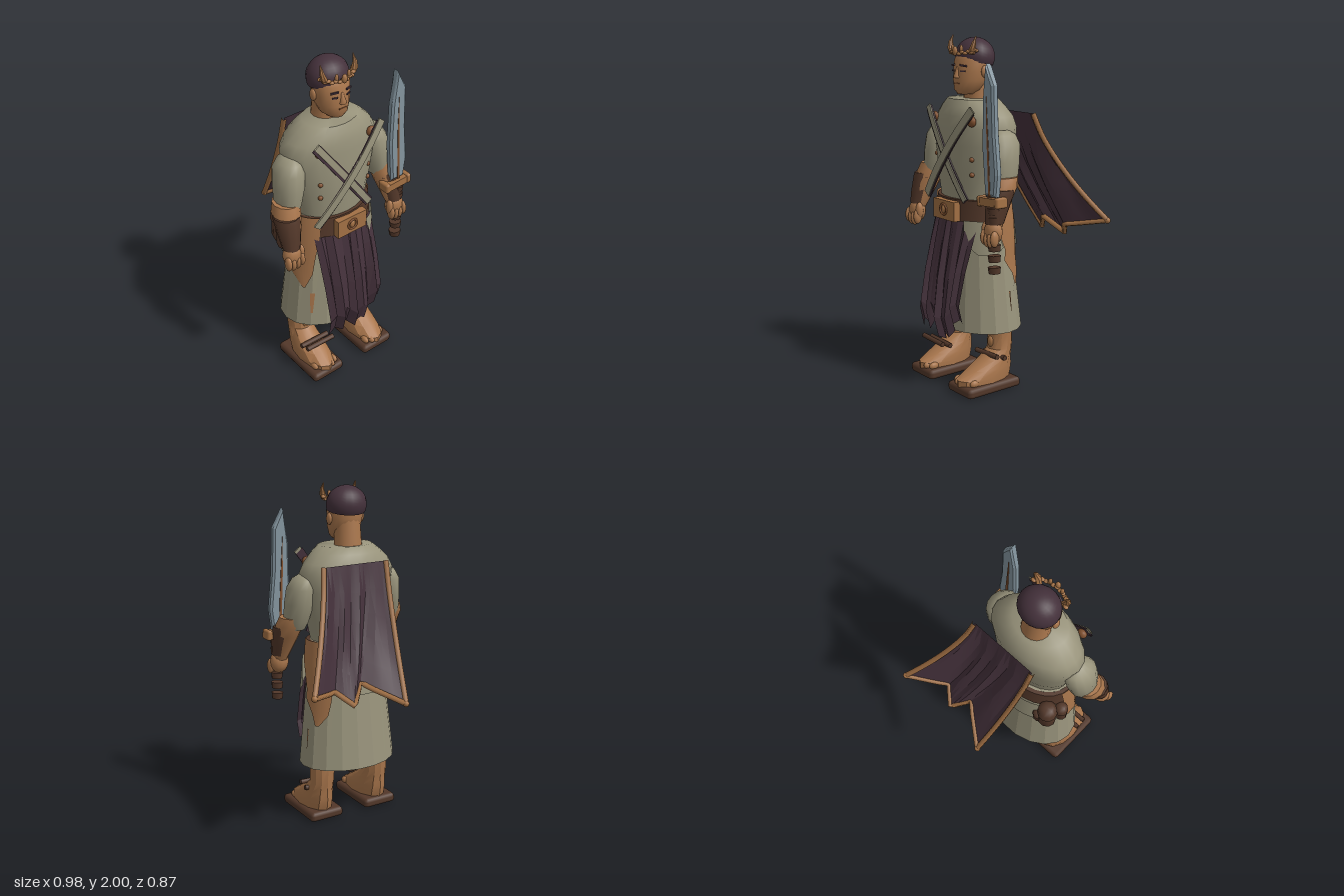
import * as THREE from 'three';
import { toCreasedNormals } from 'three/addons/utils/BufferGeometryUtils.js';
import { RoundedBoxGeometry } from 'three/addons/geometries/RoundedBoxGeometry.js';

const CX = -0.06; // body axis
const lerp = THREE.MathUtils.lerp;
const rad = THREE.MathUtils.degToRad;

export function createModel() {
  const root = new THREE.Group();
  const paint = (name, color, side = THREE.FrontSide) => {
    const m = new THREE.MeshStandardMaterial({ color, side });
    m.name = name;
    return m;
  };
  const cloth = paint('sage cloth', 0x98937b, THREE.DoubleSide);
  const skin = paint('skin', 0xa9764c, THREE.DoubleSide);
  const purple = paint('dark plum', 0x44313b, THREE.DoubleSide);
  const leather = paint('dark leather', 0x523729, THREE.DoubleSide);
  const gold = paint('bronze trim', 0xa27044);
  const steel = paint('steel', 0x84959f);
  const copper = paint('copper', 0x80502f);

  const add = (name, geo, mat, x = 0, y = 0, z = 0, rx = 0, ry = 0, rz = 0) => {
    const m = new THREE.Mesh(geo, mat);
    m.name = name;
    m.position.set(x, y, z);
    m.rotation.set(rx, ry, rz);
    root.add(m);
    return m;
  };
  const ball = (name, mat, x, y, z, a, b = a, c = a) => {
    const m = add(name, new THREE.SphereGeometry(1, 12, 8), mat, x, y, z);
    m.scale.set(a, b, c);
    return m;
  };
  const box = (w, h, d) => new THREE.BoxGeometry(w, h, d);

  // Skin rows of points into a surface; crease 0 gives flat facets
  const surface = (rows, closed, crease = 1) => {
    const n = rows[0].length, idx = [];
    for (let i = 0; i < rows.length - 1; i++) {
      for (let j = 0; j < (closed ? n : n - 1); j++) {
        const k = (j + 1) % n, a = i * n + j, b = i * n + k, c = b + n, d = a + n;
        idx.push(a, d, b, b, d, c);
      }
    }
    const g = new THREE.BufferGeometry();
    g.setAttribute('position', new THREE.Float32BufferAttribute(rows.flat(2), 3));
    g.setIndex(idx);
    return toCreasedNormals(g, crease);
  };
  // Capped stack of ellipses [x, y, z, rx, rz], listed bottom to top
  const loft = (rings, n = 16, crease = 1) => {
    const first = rings[0], last = rings[rings.length - 1];
    const all = [[...first.slice(0, 3), 0, 0], ...rings, [...last.slice(0, 3), 0, 0]];
    return surface(all.map(([x, y, z, rx, rz]) => Array.from({ length: n }, (_, j) => {
      const a = (j / n) * Math.PI * 2;
      return [x + rx * Math.cos(a), y, z + rz * Math.sin(a)];
    })), true, crease);
  };

  // Torso, neck and skirt
  add('tunic', loft([[0.97, 0.21, 0.15, 0.15], [1.1, 0.215, 0.155, 0.15], [1.25, 0.252, 0.178, 0.14],
    [1.4, 0.285, 0.184, 0.132], [1.5, 0.297, 0.182, 0.128], [1.56, 0.265, 0.176, 0.13], [1.61, 0.215, 0.155, 0.138],
    [1.65, 0.165, 0.128, 0.145]].map(([y, rx, rz, z]) => [CX, y, z, rx, rz]), 20), cloth);
  add('neck', loft([[CX, 1.6, 0.11, 0.09, 0.085], [CX, 1.66, 0.11, 0.08, 0.078], [CX, 1.8, 0.125, 0.078, 0.075]]), skin);
  add('skirt', loft([[CX, 0.34, 0.125, 0.29, 0.215], [CX, 0.345, 0.125, 0.305, 0.228], [CX, 1.1, 0.14, 0.225, 0.16]], 18, 0), cloth);

  // Bands lying on the skirt: rows [y, startAngle, endAngle, ownPad], pushed out by pad
  const band = (name, mat, rows, pad, crease = 0.6) => add(name, surface(rows.map(([y, a0, a1, p = pad]) => {
    const t = (y - 0.34) / 0.76;
    return Array.from({ length: 25 }, (_, j) => {
      const a = rad(lerp(a0, a1, j / 24));
      return [CX + (lerp(0.305, 0.225, t) + p) * Math.cos(a), y, lerp(0.125, 0.14, t) + (lerp(0.228, 0.16, t) + p) * Math.sin(a)];
    });
  }), false, crease), mat);
  band('belt', leather, [[0.98, 0, 360], [1.1, 0, 360]], 0.022);
  band('beltTop', leather, [[1.1, 0, 360, 0.022], [1.101, 0, 360, 0]], 0);
  band('leftHipPatch', skin, [[0.61, -28, -22, 0.008], [0.68, -42, -16, 0.01], [0.76, -46, 0, 0.012], [0.82, -48, -2, 0.018],
    [0.98, -58, 14], [1.11, -66, 22]], 0.027);
  band('rightHipPatch', skin, [[0.62, 150, 154, 0.006], [0.72, 140, 182, 0.008], [0.8, 138, 188, 0.014], [0.98, 132, 194], [1.11, 130, 198]], 0.027);
  band('rearHipWrap', cloth, [[0.8, 196, 300], [0.82, 194, 302], [0.99, 192, 304]], 0.034);
  band('frontHipWrap', cloth, [[0.8, 16, 40], [0.84, 4, 52], [0.92, 10, 60], [0.99, 18, 60]], 0.034);
  band('leftSkirtTear', skin, [[0.46, -8, -7], [0.58, -9, -6]], 0.004);
  band('rightSkirtTear', skin, [[0.44, 138, 141], [0.58, 136, 143]], 0.004);

  // Buckle with a raised ring
  add('buckle', box(0.2, 0.11, 0.04), gold, CX, 1.035, 0.333);
  add('buckleRing', new THREE.TorusGeometry(0.03, 0.007, 6, 14), copper, CX, 1.038, 0.354);
  ball('buckleBoss', gold, CX, 1.038, 0.352, 0.018, 0.024, 0.012);

  // Pouches on the right hip
  const pouch = (x, y, z, r, h) => {
    add('pouch', loft([[x, y - h, z, r * 0.75, r * 0.7], [x, y - h * 0.7, z, r, r * 0.95], [x, y + h * 0.3, z, r * 0.95, r * 0.9],
      [x, y + h, z, r * 0.65, r * 0.6]], 10), leather);
    add('pouchFlap', loft([[x, y + h * 0.3, z, r * 1.1, r * 1.05], [x, y + h * 0.8, z, r, r], [x, y + h * 1.05, z, r * 0.6, r * 0.6]], 10), leather);
  };
  pouch(-0.283, 0.93, -0.015, 0.055, 0.11);
  pouch(-0.235, 0.86, -0.03, 0.035, 0.055);
  pouch(-0.325, 0.91, 0.06, 0.038, 0.08);

  // Folded front cloth with a ragged hem
  const hem = [0.31, 0.37, 0.33, 0.32, 0.38, 0.34, 0.3, 0.28, 0.33, 0.31, 0.35, 0.41, 0.43, 0.42];
  const drape = [[0, 0.315], [0.25, 0.35], [0.5, 0.382], [0.82, 0.408], [1, 0.375]];
  add('frontCloth', surface(drape.map(([v, out]) => hem.map((h, j) => {
    const u = j / (hem.length - 1), pleat = 0.02 * Math.sin(j * 2.4) * (0.5 + v * 0.7);
    return [lerp(-0.26, 0.145, u) * (1 - 0.07 * v) + pleat * 0.3, lerp(0.98, h, v), out + pleat - 0.05 * (2 * u - 1) ** 2 * (1 - v)];
  })), false, 0), purple);

  // Crossed chest straps, each a thin bent bar
  const strap = (name, mat, [x0, y0], [x1, y1], w, lift) => {
    const d = new THREE.Vector2(x1 - x0, y1 - y0).normalize().multiplyScalar(w / 2);
    add(name, surface(Array.from({ length: 11 }, (_, i) => {
      const x = lerp(x0, x1, i / 10), y = lerp(y0, y1, i / 10), z = 0.338 + lift - 0.6 * (x - CX) ** 2;
      return [[x - d.y, y + d.x, z], [x + d.y, y - d.x, z], [x + d.y, y - d.x, z - 0.008], [x - d.y, y + d.x, z - 0.008]];
    }), true, 0.5), mat);
  };
  strap('underStrapEdge', purple, [-0.27, 1.59], [0.09, 1.1], 0.054, -0.012);
  strap('underStrap', cloth, [-0.27, 1.6], [0.09, 1.1], 0.036, -0.006);
  strap('overStrapEdge', purple, [-0.27, 1.09], [0.15, 1.6], 0.054, 0.003);
  strap('overStrap', cloth, [-0.28, 1.09], [0.16, 1.61], 0.048, 0.009);

  // Paired parts
  for (const s of [1, -1]) {
    const X = (o) => CX + s * o;
    const chain = (list) => list.map(([o, y, z, rx, rz]) => [X(o), y, z, rx, rz]);
    const tag = s > 0 ? 'left' : 'right';

    ball(tag + 'ChestStud', copper, X(0.175), 1.54, 0.283, 0.03, 0.03, 0.022);
    for (const y of [1.33, 1.245]) ball(tag + 'Button', copper, X(0.165), y, 0.276, 0.014);

    // Arms
    add(tag + 'Sleeve', loft(chain([[0.315, 1.18, 0.185, 0.055, 0.07], [0.31, 1.23, 0.175, 0.07, 0.088], [0.295, 1.33, 0.165, 0.082, 0.1],
      [0.285, 1.42, 0.155, 0.082, 0.1], [0.275, 1.47, 0.15, 0.062, 0.08], [0.27, 1.495, 0.15, 0.03, 0.04]]), 14), cloth);
    add(tag + 'Forearm', loft(chain([[0.365, 0.98, 0.28, 0.042, 0.042], [0.345, 1.13, 0.23, 0.07, 0.075],
      [0.34, 1.2, 0.2, 0.08, 0.085], [0.33, 1.25, 0.185, 0.072, 0.08]]), 12), skin);
    add(tag + 'Bracer', loft(chain([[0.365, 1.01, 0.275, 0.05, 0.052], [0.36, 1.08, 0.255, 0.063, 0.064],
      [0.352, 1.17, 0.225, 0.076, 0.078], [0.352, 1.19, 0.22, 0.074, 0.076]]), 12), leather);
    ball(tag + 'Hand', skin, X(0.367), 0.965, 0.285, 0.057, 0.07, 0.048);
    for (let i = 0; i < 4; i++) ball(tag + 'Finger', skin, X(0.325 + i * 0.029), 0.935 - (i % 3 ? 0.01 : 0), 0.312, 0.018, 0.045, 0.028);
    ball(tag + 'Thumb', skin, X(0.32), 0.97, 0.302, 0.02, 0.05, 0.024);

    // Legs and sandals
    add(tag + 'Leg', loft(chain([[0.19, 0.05, 0.225, 0.09, 0.175], [0.19, 0.085, 0.22, 0.092, 0.18], [0.19, 0.13, 0.18, 0.088, 0.145],
      [0.19, 0.18, 0.14, 0.08, 0.1], [0.19, 0.23, 0.105, 0.072, 0.073], [0.188, 0.34, 0.098, 0.075, 0.07], [0.18, 0.5, 0.1, 0.085, 0.08]]), 12, 0.5), skin);
    add(tag + 'Sole', new RoundedBoxGeometry(0.22, 0.058, 0.37, 1, 0.022), leather, X(0.19), 0.029, 0.215);
    for (let i = 0; i < 5; i++) ball(tag + 'Toe', skin, X(0.125 + i * 0.032), 0.07, 0.375 - Math.abs(i - 1.5) * 0.018, 0.018, 0.022, 0.032);

    // Ankle rods
    for (const i of [0, 1]) {
      add(tag + 'AnkleRod', new THREE.CylinderGeometry(0.015, 0.015, 0.195, 8), leather,
        X(0.19), 0.186 + i * 0.018, (s > 0 ? 0.14 : 0.25) + i * 0.055, 0, 0, Math.PI / 2 + s * 0.04);
    }
    ball(tag + 'ShinStud', gold, X(0.19), 0.27, 0.168, 0.024, 0.034, 0.016);

    // Ears, eyes, brows and crown horns
    ball(tag + 'Ear', skin, X(0.107), 1.8, 0.14, 0.014, 0.034, 0.024);
    add(tag + 'Brow', box(0.044, 0.01, 0.008), purple, X(0.046), 1.833, 0.243, 0, s * 0.4, -s * 0.12);
    add(tag + 'Eye', box(0.032, 0.008, 0.006), purple, X(0.045), 1.803, 0.244, 0, s * 0.4, 0);
    const horn = [[0.085, 1.895, 0.215, 0.018], [0.1, 1.925, 0.222, 0.019], [0.108, 1.96, 0.215, 0.012], [0.106, 1.995, 0.2, 0.003]];
    add(tag + 'Horn', loft(horn.map(([o, y, z, r]) => [X(o), y, z, r, r]), 7, 0.7), gold);
    ball(tag + 'CrownLeaf', gold, X(0.04), 1.922, 0.25, 0.011, 0.024, 0.01);
  }

  // Head and hair
  add('head', loft([[1.675, 0.19, 0.045, 0.05], [1.7, 0.175, 0.075, 0.08], [1.75, 0.157, 0.095, 0.1], [1.8, 0.15, 0.104, 0.103],
    [1.86, 0.146, 0.106, 0.098], [1.9, 0.138, 0.098, 0.088], [1.95, 0.13, 0.05, 0.045]].map(([y, z, rx, rz]) => [CX, y, z, rx, rz]), 18), skin);
  const hair = add('hair', new THREE.SphereGeometry(1, 18, 12, 0, Math.PI * 2, 0, Math.PI * 0.61), purple, CX, 1.877, 0.127, -0.17);
  hair.scale.set(0.12, 0.108, 0.108);
  add('nose', loft([[CX, 1.765, 0.252, 0.022, 0.02], [CX, 1.778, 0.252, 0.018, 0.022], [CX, 1.825, 0.24, 0.009, 0.012]], 8), skin);
  add('mouth', box(0.046, 0.007, 0.006), copper, CX, 1.735, 0.254);
  ball('chin', skin, CX, 1.695, 0.22, 0.036, 0.024, 0.03);

  // Braided crown across the brow
  for (let i = 0; i <= 14; i++) {
    const a = rad(lerp(5, 175, i / 14));
    ball('crownBraid', gold, CX + 0.108 * Math.cos(a), 1.918 - 0.022 * Math.sin(a) + (i % 2) * 0.008, 0.195 + 0.06 * Math.sin(a), 0.016, 0.01, 0.012);
  }
  ball('crownStone', gold, CX, 1.912, 0.264, 0.016, 0.026, 0.014);

  // Sword held upright in the left hand
  const outline = [[0.27, 1.86], [0.24, 1.66], [0.237, 1.4], [0.26, 1.16], [0.35, 1.16], [0.365, 1.28], [0.342, 1.5], [0.333, 1.75]];
  const bladeShape = new THREE.Shape(outline.map(([x, y]) => new THREE.Vector2(x, y)));
  add('blade', new THREE.ExtrudeGeometry(bladeShape, { depth: 0.024, bevelSize: 0.012, bevelOffset: -0.012, bevelThickness: 0.01, bevelSegments: 1 }), steel, 0, 0, 0.277);
  const ridge = new THREE.Shape([[0.281, 1.7], [0.283, 1.5], [0.299, 1.16], [0.314, 1.16], [0.302, 1.4]].map(([x, y]) => new THREE.Vector2(x, y)));
  for (const z of [0.309, 0.263]) add('bladeRidge', new THREE.ExtrudeGeometry(ridge, { depth: 0.004, bevelEnabled: false }), copper, 0, 0, z);
  add('guard', box(0.165, 0.045, 0.07), gold, 0.302, 1.13, 0.29, 0, 0, 0.06);
  for (const x of [0.226, 0.378]) add('guardEnd', new RoundedBoxGeometry(0.032, 0.06, 0.078, 1, 0.012), gold, x, 1.13 + (x - 0.302) * 0.06, 0.29, 0, 0, 0.06);
  for (const y of [1.08, 1.03, 0.88, 0.82, 0.755]) {
    add('gripRing', new THREE.CylinderGeometry(0.036, 0.032, 0.036, 8), leather, 0.322, y, 0.29, 0, 0, 0.06);
  }

  // Flying cape: rippled sheet between the shoulder line and the lower corners
  const low = [[-0.11, 0.83, -0.42], [0.09, 0.94, -0.26], [0.18, 0.85, -0.345], [0.26, 0.92, -0.27], [0.47, 0.96, -0.41]];
  const capePoint = (u, v) => {
    const k = Math.min(3, Math.floor(u * 4)), f = u * 4 - k;
    const p = low[k].map((c, i) => lerp(c, low[k + 1][i], f));
    const ripple = 0.012 * Math.sin(u * Math.PI * 8) * Math.sin(v * Math.PI);
    return [lerp(lerp(-0.2, 0.21, u), p[0], v ** 1.35), lerp(1.57, p[1], v) - 0.02 * Math.sin(v * Math.PI), lerp(-0.07, p[2], v ** 1.2) + ripple];
  };
  const us = Array.from({ length: 17 }, (_, i) => i / 16), vs = [0, 0.2, 0.4, 0.6, 0.8, 1];
  add('cape', surface(vs.map((v) => us.map((u) => capePoint(u, v))), false, 0.3), purple);

  // Square cord trim down both sides and along the hem
  const trim = (points) => add('capeTrim', new THREE.TubeGeometry(
    new THREE.CatmullRomCurve3(points.map((p) => new THREE.Vector3(...p))), 32, 0.016, 5), gold);
  for (const u of [0, 1]) trim(vs.map((v) => capePoint(u, v)));
  trim(us.map((u) => capePoint(u, 1)));
  for (const u of [0, 1]) ball('capeTrimCorner', gold, ...capePoint(u, 1), 0.018);

  return root;
}
